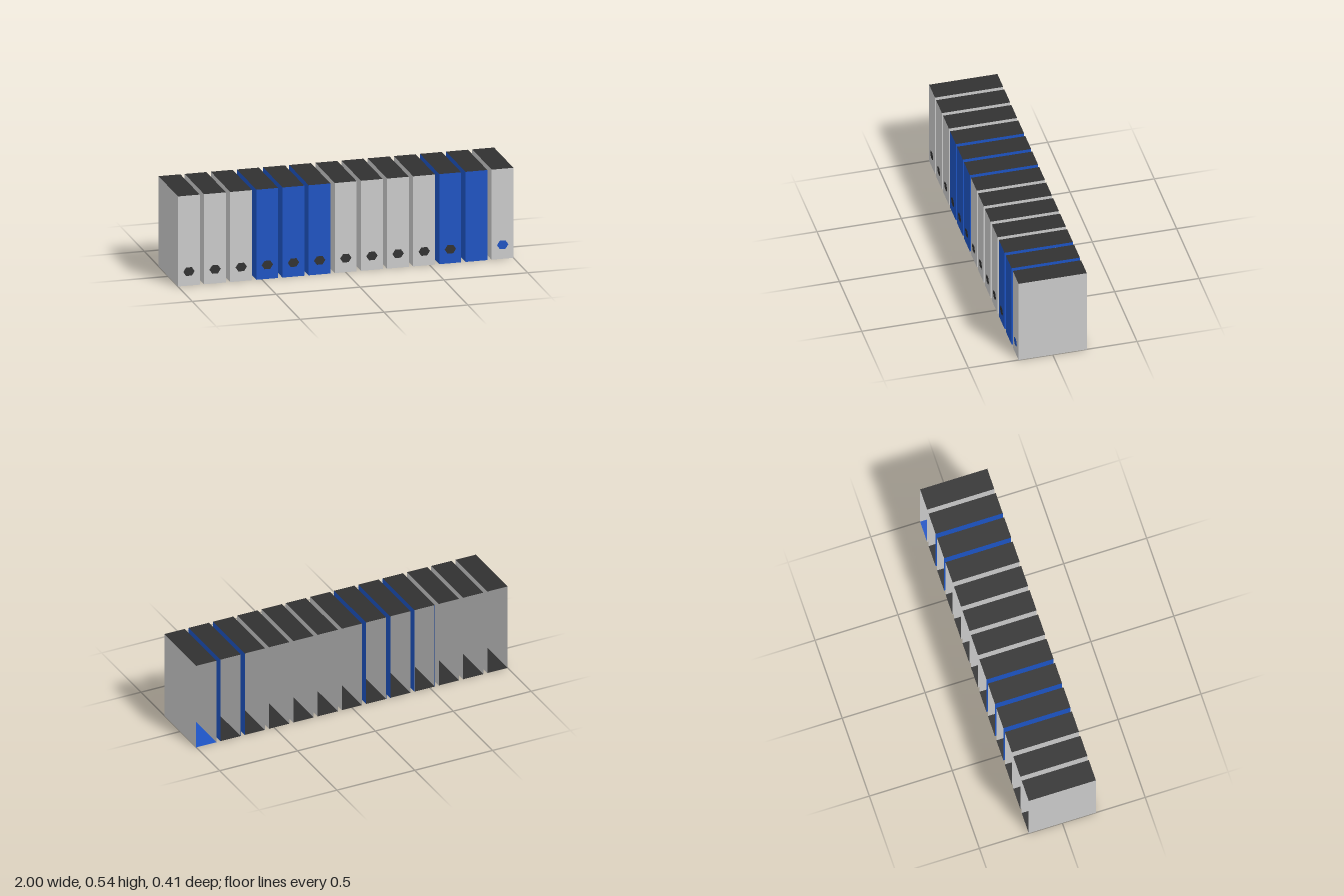
import * as THREE from 'three';

const COUNT = 13, W = 0.13, H = 0.541, D = 0.405;
const PITCH = (2 - W) / (COUNT - 1);
const BLUE_BINDERS = [3, 4, 5, 10, 11];
const LINING_GAP = 0.001;

const paint = (color) =>
  new THREE.MeshStandardMaterial({ color, side: THREE.DoubleSide });

export function createModel() {
  const model = new THREE.Group();
  model.name = 'binderRow';

  const grey = paint(0xcccccc), blue = paint(0x1d54c4), dark = paint(0x313131);

  const spineGeo = new THREE.PlaneGeometry(W, H);
  const coverGeo = new THREE.PlaneGeometry(D, H);
  const endGeo = new THREE.PlaneGeometry(W, D).rotateX(-Math.PI / 2);
  const holeGeo = new THREE.CircleGeometry(0.034, 6).scale(1, 0.86, 1);

  const add = (parent, name, geo, mat, x, y, z, turn = 0) => {
    const mesh = new THREE.Mesh(geo, mat);
    mesh.name = name;
    mesh.position.set(x, y, z);
    mesh.rotation.y = turn;
    parent.add(mesh);
  };

  // Thin spine and two covers, moved inwards by inset; the back stays open
  const addShell = (parent, name, mat, inset) => {
    const x = W / 2 - inset;
    add(parent, `${name}Spine`, spineGeo, mat, 0, H / 2, D / 2 - inset);
    add(parent, `${name}LeftCover`, coverGeo, mat, x, H / 2, 0, Math.PI / 2);
    add(parent, `${name}RightCover`, coverGeo, mat, -x, H / 2, 0, -Math.PI / 2);
  };

  for (let i = 0; i < COUNT; i++) {
    const binder = new THREE.Group();
    binder.name = `binder${i + 1}`;
    binder.position.x = -1 + W / 2 + i * PITCH;

    // Blue binders have a grey lining
    const isBlue = BLUE_BINDERS.includes(i);
    addShell(binder, 'outer', isBlue ? blue : grey, 0);
    if (isBlue) addShell(binder, 'lining', grey, LINING_GAP);

    // Dark ends; the last binder has a blue base
    add(binder, 'topEnd', endGeo, dark, 0, H, 0);
    add(binder, 'bottomEnd', endGeo, i === COUNT - 1 ? blue : dark, 0, 0, 0);

    // Flattened six-sided finger hole low on the spine, blue on the last two
    add(binder, 'fingerHole', holeGeo, i >= COUNT - 2 ? blue : dark, 0, 0.085, D / 2 + 0.002);
    model.add(binder);
  }
  return model;
}
